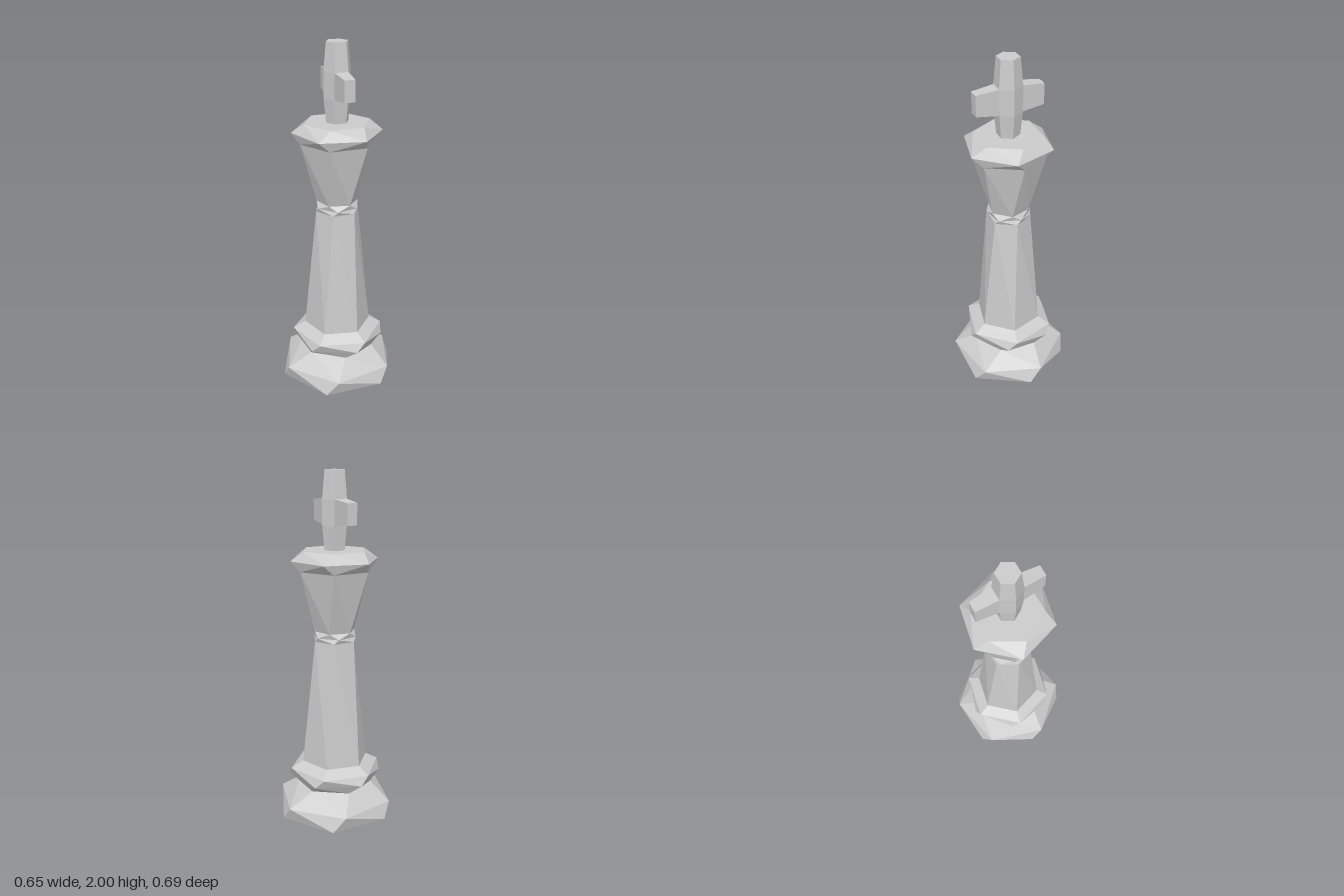
import * as THREE from 'three';

const material = new THREE.MeshStandardMaterial({ color: 0xcccccc, flatShading: true, side: THREE.DoubleSide });

// Six corners of a twisted hexagonal ring: [height, radius, twist in degrees]
function hexRing([y, r, twist]) {
  return Array.from({ length: 6 }, (_, j) => {
    const a = THREE.MathUtils.degToRad(twist + j * 60);
    return new THREE.Vector3(r * Math.sin(a), y, r * Math.cos(a));
  });
}

// Skin over a stack of hexagonal rings, with optional flat end caps
function hexLoft(name, profile, { bottom = false, top = false } = {}) {
  const rings = profile.map(hexRing);
  const points = [];
  for (let i = 0; i < rings.length - 1; i++) {
    for (let j = 0; j < 6; j++) {
      const k = (j + 1) % 6;
      const a = rings[i][j], b = rings[i][k], c = rings[i + 1][k], d = rings[i + 1][j];
      // Split each twisted quad along its shorter diagonal
      if (a.distanceTo(c) < b.distanceTo(d)) points.push(a, b, c, a, c, d);
      else points.push(a, b, d, b, c, d);
    }
  }
  const first = rings[0], last = rings[rings.length - 1];
  for (let j = 1; j < 5; j++) {
    if (bottom) points.push(first[0], first[j + 1], first[j]);
    if (top) points.push(last[0], last[j], last[j + 1]);
  }
  const geometry = new THREE.BufferGeometry().setFromPoints(points);
  geometry.computeVertexNormals();
  const mesh = new THREE.Mesh(geometry, material);
  mesh.name = name;
  return mesh;
}

// Tapered cross arm pointing outward from the post
function crossArm(name, degrees) {
  const inner = 0.05, outer = 0.193;
  const geometry = new THREE.BoxGeometry(1, 1, outer - inner);
  geometry.translate(0, 0, (inner + outer) / 2);
  const p = geometry.attributes.position;
  for (let i = 0; i < p.count; i++) {
    const tip = p.getZ(i) > 0.1;
    p.setX(i, p.getX(i) * (tip ? 0.06 : 0.08));
    p.setY(i, p.getY(i) * (tip ? 0.118 : 0.15));
  }
  geometry.computeVertexNormals();
  const arm = new THREE.Mesh(geometry, material);
  arm.name = name;
  arm.position.y = 1.773;
  arm.rotation.y = THREE.MathUtils.degToRad(degrees);
  return arm;
}

export function createModel() {
  const king = new THREE.Group();
  king.name = 'chessKing';

  // Twisted foot and the collar above it
  king.add(hexLoft('base', [[0, 0.343, 0], [0.085, 0.342, 12], [0.175, 0.215, 24]], { bottom: true }));
  king.add(hexLoft('collar', [[0.175, 0.215, 24], [0.228, 0.267, 36.8], [0.28, 0.267, 48], [0.32, 0.195, 48]]));

  // Tapering shaft and pinched neck
  king.add(hexLoft('column', [[0.32, 0.195, 48], [1.05, 0.127, 60]]));
  king.add(hexLoft('neck', [[1.05, 0.127, 60], [1.075, 0.126, 72], [1.105, 0.118, 48]]));

  // Flared crown with an overhanging rim and a bevelled flat top
  king.add(hexLoft('crown', [[1.105, 0.118, 48], [1.455, 0.215, 60], [1.51, 0.255, 48], [1.565, 0.19, 60]], { top: true }));

  // Cross: barrel-shaped post with two tapered arms
  const cross = new THREE.Group();
  cross.name = 'cross';
  cross.add(hexLoft('crossPost', [[1.565, 0.064, 0], [1.7, 0.078, 0], [1.845, 0.078, 0], [2, 0.063, 0]], { top: true }));
  cross.add(crossArm('frontArm', -30), crossArm('backArm', 150));
  king.add(cross);

  return king;
}
